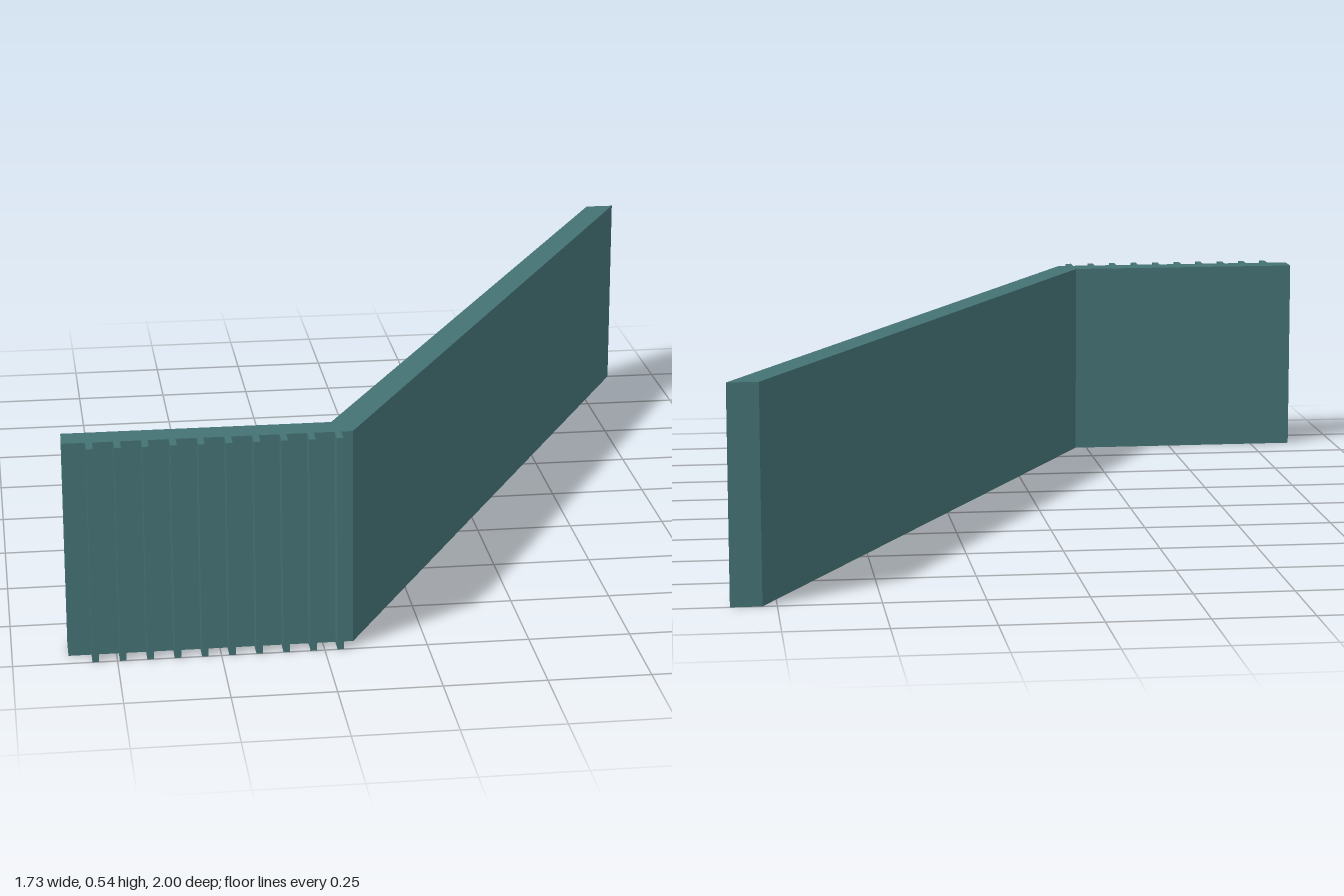
import * as THREE from 'three';

export function createModel() {
  const group = new THREE.Group();
  const height = 0.54;
  const teal = new THREE.MeshStandardMaterial({ color: 0x447274 });
  teal.name = 'dull teal';

  // Bent wall: plan outline as x, z, extruded upwards
  const plan = [
    [-0.865, 0.953], [-0.175, 0.953], [0.862, -1],
    [0.785, -1], [-0.218, 0.88], [-0.865, 0.88],
  ];
  const shape = new THREE.Shape(plan.map(([x, z]) => new THREE.Vector2(x, -z)));
  const wallGeometry = new THREE.ExtrudeGeometry(shape, { depth: height, bevelEnabled: false });
  wallGeometry.rotateX(-Math.PI / 2);
  const wall = new THREE.Mesh(wallGeometry, teal);
  wall.name = 'bentWall';
  group.add(wall);

  // Vertical ribs on the front of the short arm
  const ribs = new THREE.Group();
  ribs.name = 'ribs';
  const count = 10;
  const ribGeometry = new THREE.BoxGeometry(0.016, height, 0.05);
  for (let i = 0; i < count; i++) {
    const rib = new THREE.Mesh(ribGeometry, teal);
    rib.name = 'rib';
    rib.position.set(THREE.MathUtils.lerp(-0.802, -0.211, i / (count - 1)), height / 2, 0.975);
    ribs.add(rib);
  }
  group.add(ribs);

  return group;
}
